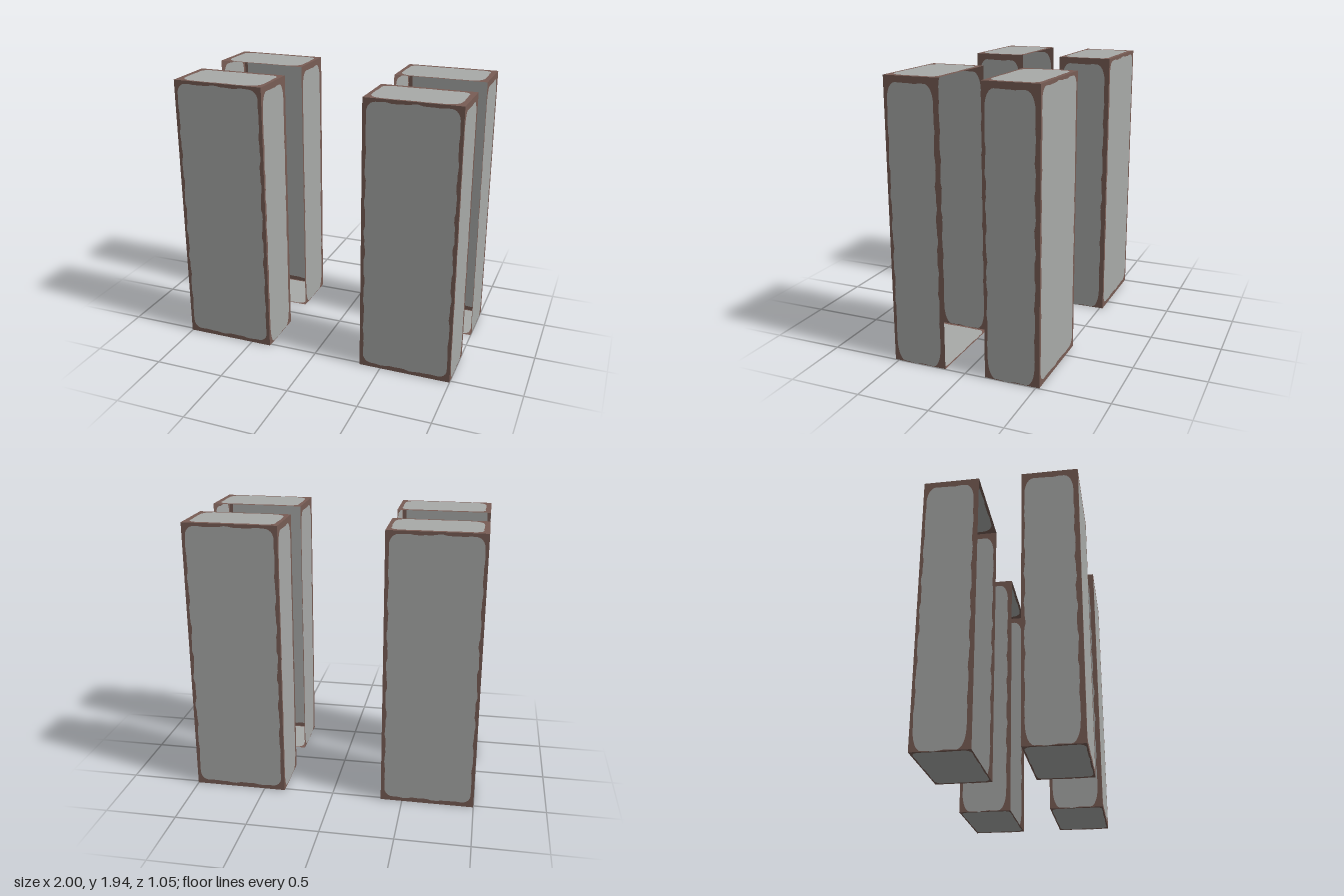
import * as THREE from 'three';

const W = 0.65, H = 1.935, D = 0.38;      // column size
const CX = 0.675, CZ = 0.335;             // column centre offsets

// Wavy rounded outline of the bare area inside a w x h panel.
// m: margins [left, right, bottom, top]; corners: [rx, ry] bottom and top
function wornOutline(w, h, m, bottom, top, wave) {
  const l = -w / 2 + m[0], r = w / 2 - m[1], b = -h / 2 + m[2], t = h / 2 - m[3];
  const corners = [
    [r, b, -1, 1, bottom, -Math.PI / 2], [r, t, -1, -1, top, 0],
    [l, t, 1, -1, top, Math.PI / 2], [l, b, 1, 1, bottom, Math.PI],
  ];
  const arcs = corners.map(([x, y, sx, sy, [rx, ry], a0]) => {
    const pts = [];
    for (let i = 0; i <= 6; i++) {
      const a = a0 + (i / 6) * Math.PI / 2;
      pts.push(new THREE.Vector2(x + sx * rx + rx * Math.cos(a), y + sy * ry + ry * Math.sin(a)));
    }
    return pts;
  });
  const out = [];
  arcs.forEach((arc, k) => {
    out.push(...arc);
    // ragged run to the next corner
    const p = arc[6], q = arcs[(k + 1) % 4][0], len = p.distanceTo(q);
    const n = Math.max(4, Math.round(len / 0.035));
    const normal = new THREE.Vector2(q.y - p.y, p.x - q.x).normalize();
    for (let i = 1; i < n; i++) {
      const s = (i / n) * len;
      const fade = Math.sin((i / n) * Math.PI) ** 0.5;
      const d = wave * fade * (0.6 * Math.sin(s * 27 + k * 2) + 0.4 * Math.sin(s * 61 + k));
      out.push(p.clone().lerp(q, i / n).addScaledVector(normal, d));
    }
  });
  return out;
}

// Flat wall: bare centre and rusted border lying in one plane
function panelGeometries(w, h, m, bottom, top, wave) {
  const outline = wornOutline(w, h, m, bottom, top, wave);
  const frame = new THREE.Shape([
    new THREE.Vector2(-w / 2, -h / 2), new THREE.Vector2(w / 2, -h / 2),
    new THREE.Vector2(w / 2, h / 2), new THREE.Vector2(-w / 2, h / 2),
  ]);
  frame.holes.push(new THREE.Path(outline.slice().reverse()));
  return {
    bare: new THREE.ShapeGeometry(new THREE.Shape(outline)),
    border: new THREE.ShapeGeometry(frame),
  };
}

export function createModel() {
  const metal = new THREE.MeshStandardMaterial({ color: 0xa8aaa8, side: THREE.DoubleSide });
  metal.name = 'bare grey metal';
  const rust = new THREE.MeshStandardMaterial({ color: 0x785d55, side: THREE.DoubleSide });
  rust.name = 'brown rust';

  const broad = panelGeometries(W, H, [0.025, 0.023, 0.03, 0.022], [0.06, 0.06], [0.06, 0.07], 0.008);
  const narrow = panelGeometries(D, H, [0.021, 0.033, 0.003, 0.042], [0.055, 0.14], [0.06, 0.12], 0.007);
  const cap = panelGeometries(W, D, [0.028, 0.036, 0.018, 0.03], [0.09, 0.08], [0.06, 0.05], 0.004);
  const base = panelGeometries(W, D, [0.02, 0.02, 0.01, 0.01], [0.05, 0.04], [0.05, 0.04], 0.004);

  function panel(name, geo, position, rotation, mirror = 1) {
    const g = new THREE.Group();
    g.name = name;
    const bare = new THREE.Mesh(geo.bare, metal);
    bare.name = name + 'Bare';
    const border = new THREE.Mesh(geo.border, rust);
    border.name = name + 'RustBorder';
    g.add(bare, border);
    g.position.set(...position);
    g.rotation.set(...rotation);
    g.scale.x = mirror;
    return g;
  }

  const model = new THREE.Group();
  model.name = 'fourColumns';
  const q = Math.PI / 2;

  // Four hollow columns, each open on the side facing the middle
  for (const sx of [-1, 1]) for (const sz of [-1, 1]) {
    const column = new THREE.Group();
    column.name = (sz > 0 ? 'front' : 'back') + (sx > 0 ? 'Left' : 'Right') + 'Column';
    column.position.set(sx * CX, 0, sz * CZ);
    column.add(
      panel('broadWall', broad, [0, H / 2, sz * D / 2], [0, sz > 0 ? 0 : Math.PI, 0], sx * sz),
      panel('leftWall', narrow, [W / 2, H / 2, 0], [0, q, 0]),
      panel('rightWall', narrow, [-W / 2, H / 2, 0], [0, -q, 0]),
      panel('topCap', cap, [0, H, 0], [-q, 0, 0], sx),
      panel('bottomCap', base, [0, 0, 0], [q, 0, 0], sx),
    );
    model.add(column);
  }
  return model;
}
